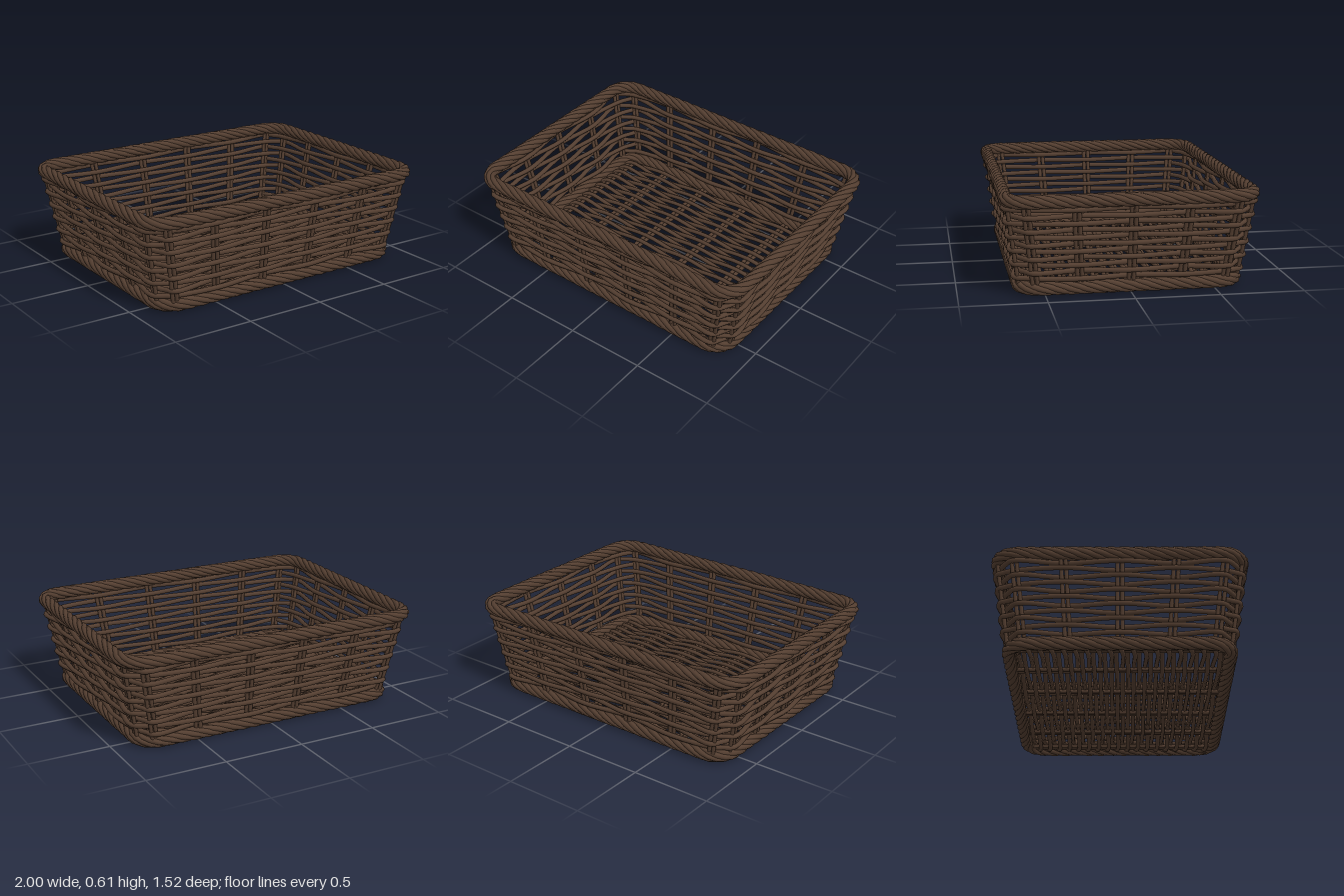
import * as THREE from 'three';

const V = (x, y, z) => new THREE.Vector3(x, y, z);

// half width and half depth of the flaring wall at height y
const halfX = (y) => 0.845 + 0.2 * y;
const halfZ = (y) => 0.64 + 0.14 * y;

// tube through control points, sampled evenly per control point
function rod(points, radius, perSpan, closed = false, sides = 7) {
  const curve = new THREE.CatmullRomCurve3(points, closed);
  curve.getPointAt = curve.getPoint;
  curve.getTangentAt = curve.getTangent;
  const spans = closed ? points.length : points.length - 1;
  return new THREE.TubeGeometry(curve, spans * perSpan, radius, sides, closed);
}

// upright positions around the wall, with a plain point at each corner
function wallStops() {
  const front = [-0.91, -0.58, -0.19, 0.19, 0.58, 0.91];
  const side = [-0.86, -0.46, 0, 0.46, 0.86];
  const corner = (sx, sz) => ({ corner: true, sx, sz });
  return [
    ...front.map((f) => ({ f: -f, g: 1, nx: 0, nz: 1 })), corner(-1, 1),
    ...side.map((f) => ({ f: -1, g: -f, nx: -1, nz: 0 })), corner(-1, -1),
    ...front.map((f) => ({ f, g: -1, nx: 0, nz: -1 })), corner(1, -1),
    ...side.map((f) => ({ f: 1, g: f, nx: 1, nz: 0 })), corner(1, 1),
  ];
}

// rope of twisted strands following a rounded rectangle
function ropeStrand(y, turns, phase) {
  const hx = halfX(y), hz = halfZ(y), r = 0.13, twist = 0.024;
  const path = new THREE.Path();
  [[1, 1], [-1, 1], [-1, -1], [1, -1]].forEach(([sx, sz], i) =>
    path.absarc(sx * (hx - r), sz * (hz - r), r, i * Math.PI / 2, (i + 1) * Math.PI / 2, false));
  path.closePath();
  const points = [];
  const count = turns * 12;
  for (let i = 0; i < count; i++) {
    const u = i / count;
    const p = path.getPointAt(u), t = path.getTangentAt(u);
    const a = 2 * Math.PI * (turns * u + phase);
    const out = twist * Math.cos(a);
    points.push(V(p.x + t.y * out, y + twist * Math.sin(a), p.y - t.x * out));
  }
  return rod(points, 0.018, 1, true);
}

export function createModel() {
  const model = new THREE.Group();
  model.name = 'wickerBasket';
  const wicker = new THREE.MeshStandardMaterial({ color: 0x553f31 });
  wicker.name = 'dark brown wicker';

  const part = (name) => {
    const group = new THREE.Group();
    group.name = name;
    model.add(group);
    return (geometry, label) => {
      const mesh = new THREE.Mesh(geometry, wicker);
      mesh.name = label;
      group.add(mesh);
    };
  };

  // braided rims at the top and the foot
  for (const [name, y, turns] of [['topRim', 0.57, 14], ['bottomRim', 0.042, 12]]) {
    const add = part(name);
    for (let k = 0; k < 6; k++) add(ropeStrand(y, turns, k / 6), 'rimStrand');
  }

  // horizontal wall weavers passing in and out of the uprights
  const stops = wallStops();
  const addWeaver = part('wallWeavers');
  for (let row = 0; row < 11; row++) {
    const y = 0.1 + row * 0.042;
    const hx = halfX(y), hz = halfZ(y);
    let sign = row % 2 ? 1 : -1;
    const points = stops.map((s) => {
      if (s.corner) return V(s.sx * (hx - 0.041), y, s.sz * (hz - 0.041));
      sign = -sign;
      return V(s.f * hx + s.nx * sign * 0.018, y, s.g * hz + s.nz * sign * 0.018);
    });
    addWeaver(rod(points, 0.0155, 6, true), 'wallWeaver');
  }

  // paired uprights
  const addUpright = part('wallUprights');
  for (const s of stops) {
    if (s.corner) continue;
    for (const d of [-0.014, 0.014]) {
      const at = (y) => V(s.f * halfX(y) + s.nz * d, y, s.g * halfZ(y) + s.nx * d);
      addUpright(rod([at(0.03), at(0.57)], 0.0125, 1), 'upright');
    }
  }

  // paired floor ribs running front to back
  const floorY = 0.035;
  const ribs = [-0.78, -0.5, -0.17, 0.17, 0.5, 0.78];
  const addRib = part('floorRibs');
  for (const x of ribs) {
    for (const d of [-0.014, 0.014]) {
      addRib(rod([V(x + d, floorY, -0.64), V(x + d, floorY, 0.64)], 0.0125, 1), 'floorRib');
    }
  }

  // one long floor weaver, turning back around the outer ribs
  const rows = 36, step = 0.0335;
  const points = [];
  for (let i = 0; i < rows; i++) {
    const z = (i - (rows - 1) / 2) * step;
    const dir = i % 2 ? -1 : 1;
    for (let k = 0; k < ribs.length; k++) {
      const j = dir > 0 ? k : ribs.length - 1 - k;
      points.push(V(ribs[j], floorY + ((i + j) % 2 ? 0.018 : -0.018), z));
    }
    if (i < rows - 1) points.push(V(dir * 0.808, floorY, z + step / 2));
  }
  part('floorWeave')(rod(points, 0.0138, 5), 'floorWeaver');

  return model;
}
